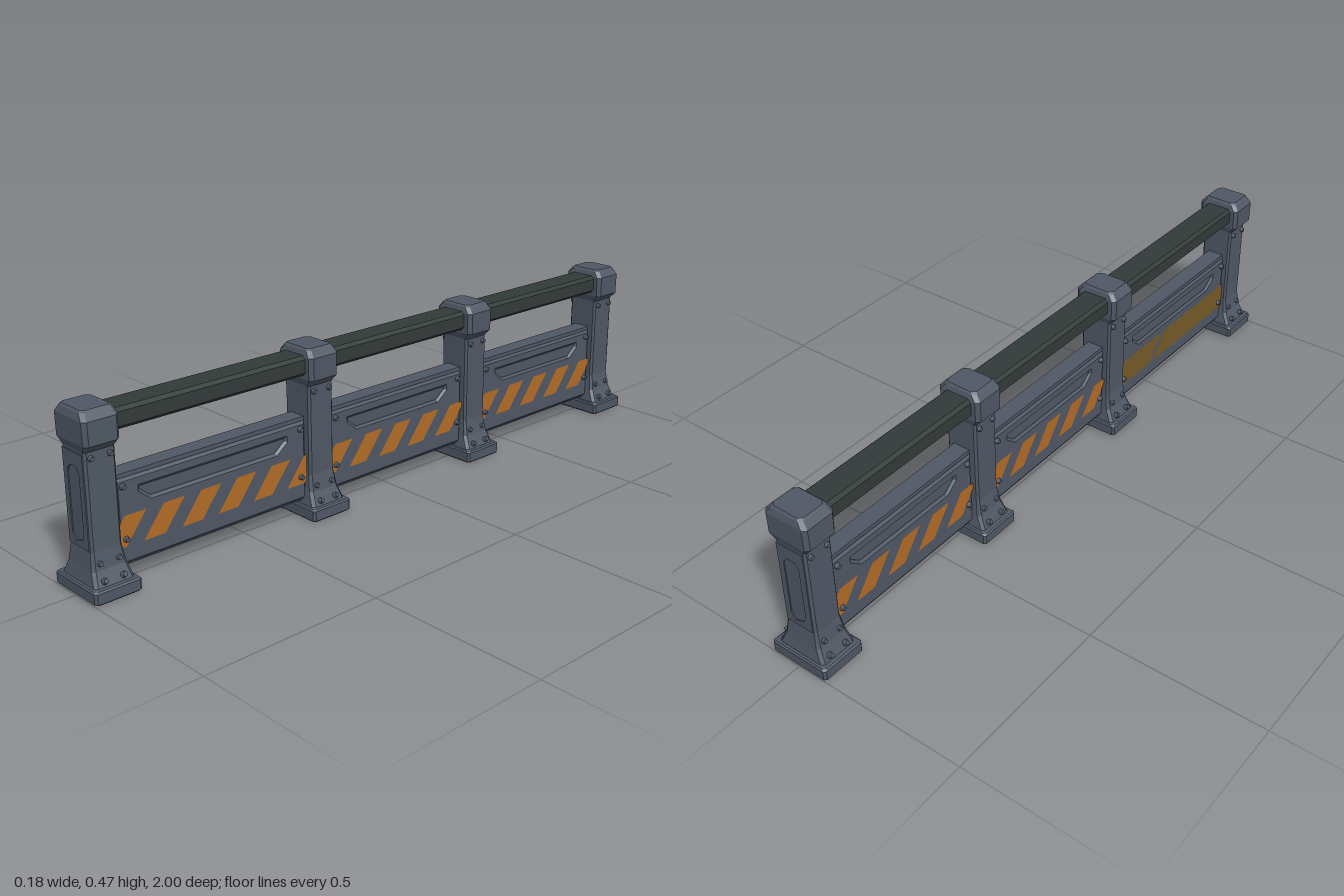
import * as THREE from 'three';

const steel = new THREE.MeshStandardMaterial({ color: 0x4f5865 });
steel.name = 'steelGrey';
const railPaint = new THREE.MeshStandardMaterial({ color: 0x323b39 });
railPaint.name = 'darkRail';
const orange = new THREE.MeshStandardMaterial({ color: 0xb26c26 });
orange.name = 'hazardOrange';
const faded = new THREE.MeshStandardMaterial({ color: 0x785a28 });
faded.name = 'fadedOrange';

const POSTS = [0.935, 0.265, -0.335, -0.935];

function add(parent, name, geometry, material, x = 0, y = 0, z = 0) {
  const mesh = new THREE.Mesh(geometry, material);
  mesh.name = name;
  mesh.position.set(x, y, z);
  parent.add(mesh);
  return mesh;
}

const toShape = pts => new THREE.Shape(pts.map(p => new THREE.Vector2(...p)));

// Flat-shaded loft through rectangles with cut corners: [y, halfX, halfZ, cut]
function loft(levels) {
  const pos = [], idx = [], n = 8;
  for (const [y, a, b, c] of levels) {
    const ring = [[a, b - c], [a - c, b], [c - a, b], [-a, b - c], [-a, c - b], [c - a, -b], [a - c, -b], [a, c - b]];
    for (const [x, z] of ring) pos.push(x, y, z);
  }
  for (let i = 0; i < levels.length - 1; i++) {
    for (let j = 0; j < n; j++) {
      const a = i * n + j, b = i * n + (j + 1) % n;
      idx.push(a, a + n, b, b, a + n, b + n);
    }
  }
  const top = (levels.length - 1) * n;
  for (let j = 1; j < n - 1; j++) idx.push(0, j, j + 1, top, top + j + 1, top + j);
  const indexed = new THREE.BufferGeometry();
  indexed.setAttribute('position', new THREE.Float32BufferAttribute(pos, 3));
  indexed.setIndex(idx);
  const g = indexed.toNonIndexed();
  g.computeVertexNormals();
  return g;
}

// Keep the part of a polygon with s * u <= s * limit
function clip(pts, limit, s) {
  const out = [];
  pts.forEach((p, i) => {
    const q = pts[(i + 1) % pts.length];
    const pIn = s * p[0] <= s * limit, qIn = s * q[0] <= s * limit;
    if (pIn) out.push(p);
    if (pIn !== qIn) {
      const t = (limit - p[0]) / (q[0] - p[0]);
      out.push([limit, p[1] + t * (q[1] - p[1])]);
    }
  });
  return out;
}

const boltGeo = new THREE.CylinderGeometry(0.006, 0.009, 0.012, 8);
const postGeo = loft([
  [0, 0.084, 0.061, 0.006], [0.004, 0.088, 0.065, 0.006], [0.031, 0.088, 0.065, 0.006],
  [0.035, 0.084, 0.061, 0.006], [0.036, 0.074, 0.055, 0.008], [0.072, 0.057, 0.048, 0.008],
  [0.118, 0.048, 0.042, 0.006], [0.366, 0.048, 0.042, 0.006], [0.385, 0.066, 0.048, 0.01],
  [0.445, 0.066, 0.049, 0.01], [0.462, 0.052, 0.044, 0.01], [0.467, 0.047, 0.039, 0.01],
]);

// End face plate with a tall recessed slot
function slotPlate() {
  const plate = toShape([[-0.042, 0.12], [0.042, 0.12], [0.042, 0.36], [-0.042, 0.36]]);
  plate.holes.push(toShape([[-0.025, 0.15], [-0.012, 0.132], [0.018, 0.142], [0.024, 0.17],
    [0.024, 0.305], [0.014, 0.325], [-0.012, 0.325], [-0.025, 0.31]]));
  return new THREE.ExtrudeGeometry(plate, { depth: 0.005, bevelEnabled: false });
}

function makePost(z) {
  const post = new THREE.Group();
  post.name = 'post';
  post.position.z = z;
  add(post, 'postBody', postGeo, steel);
  for (const s of [-1, 1]) {
    for (const dz of [-0.026, 0.026]) {
      // x, y and upward tilt of each bolt
      for (const [x, y, tilt] of [[0.05, 0.35, 0], [0.055, 0.088, 0.2], [0.073, 0.05, 0.45]]) {
        add(post, 'postBolt', boltGeo, steel, s * x, y, dz).rotation.z = -s * (Math.PI / 2 - tilt);
      }
    }
  }
  if (Math.abs(z) > 0.9) {
    const s = Math.sign(z);
    const plate = add(post, 'endPlate', slotPlate(), steel, 0, 0, s * 0.04);
    if (s < 0) plate.rotation.y = Math.PI;
  }
  return post;
}

// One face of a panel, drawn in (u, y) with its front along local z
function makePanelFace(half, worn) {
  const face = new THREE.Group();
  face.name = 'panelFace';
  const h = half - 0.01, w = half - 0.065;

  // Cladding with a bevelled recess above the stripes
  const clad = toShape([[-h, 0.056], [h, 0.056], [h, 0.262], [-h, 0.262]]);
  clad.holes.push(toShape([[-w + 0.035, 0.197], [w - 0.035, 0.197], [w, 0.225],
    [w, 0.243], [-w, 0.243], [-w, 0.225]]));
  const bevel = { depth: 0.002, bevelThickness: 0.006, bevelSize: 0.007, bevelSegments: 1 };
  add(face, 'panelCladding', new THREE.ExtrudeGeometry(clad, bevel), steel, 0, 0, 0.024);

  // Painted hazard stripes leaning towards +u
  const y0 = 0.095, y1 = 0.175, lean = 0.062, pitch = 0.112;
  const bands = [];
  if (worn) bands.push([-half - 0.1, -0.13], [-0.11, half]);
  else for (let u = -half - 0.04; u < half; u += pitch) bands.push([u, u + 0.062]);
  for (const [a, b] of bands) {
    let pts = [[a, y0], [b, y0], [b + lean, y1], [a + lean, y1]];
    pts = clip(clip(pts, half, 1), -half, -1);
    if (pts.length > 2) {
      add(face, 'hazardStripe', new THREE.ShapeGeometry(toShape(pts)), worn ? faded : orange, 0, 0, 0.033);
    }
  }

  // Corner bolts
  for (const s of [-1, 1]) {
    for (const y of [0.115, 0.25]) {
      add(face, 'panelBolt', boltGeo, steel, s * (half - 0.022), y, 0.036).rotation.x = Math.PI / 2;
    }
  }
  return face;
}

function makePanel(zA, zB, wornBack) {
  const panel = new THREE.Group();
  panel.name = 'panel';
  panel.position.z = (zA + zB) / 2;
  const length = Math.abs(zA - zB);
  add(panel, 'panelCore', new THREE.BoxGeometry(0.05, 0.235, length - 0.06), steel, 0, 0.1625, 0);
  for (const s of [-1, 1]) {
    const face = makePanelFace(length / 2 - 0.04, wornBack && s < 0);
    face.rotation.y = s * Math.PI / 2;
    panel.add(face);
  }
  return panel;
}

export function createModel() {
  const model = new THREE.Group();
  model.name = 'barrier';
  POSTS.forEach(z => model.add(makePost(z)));
  for (let i = 0; i < POSTS.length - 1; i++) model.add(makePanel(POSTS[i], POSTS[i + 1], i === 0));

  // Handrail running through the post heads
  const a = 0.043, b = 0.027, c = 0.009;
  const section = toShape([[a, c - b], [a, b - c], [a - c, b], [c - a, b],
    [-a, b - c], [-a, c - b], [c - a, -b], [a - c, -b]]);
  const rail = new THREE.ExtrudeGeometry(section, { depth: 1.84, bevelEnabled: false });
  add(model, 'handrail', rail, railPaint, 0, 0.422, -0.92);
  return model;
}
